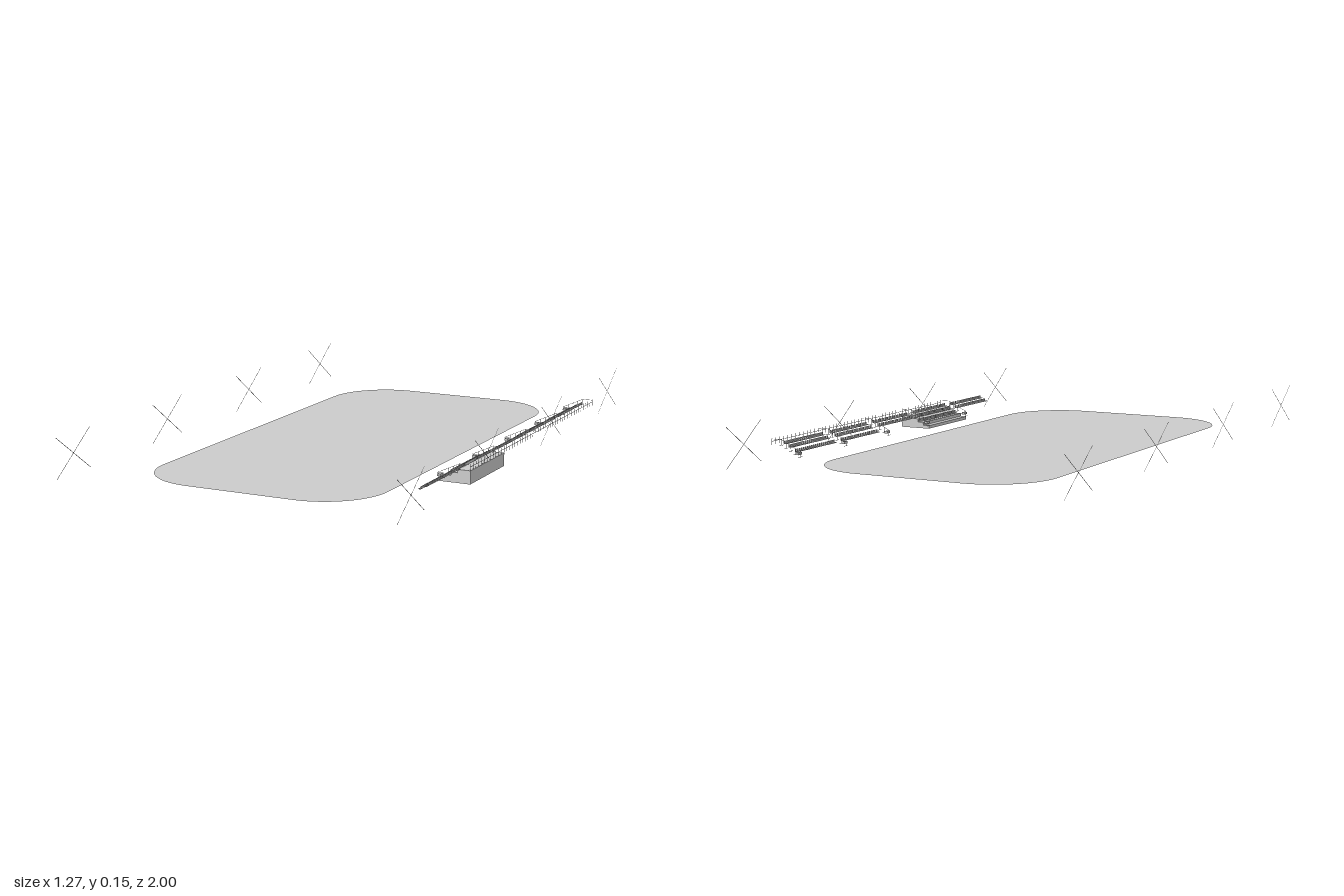
import * as THREE from 'three';
import { mergeGeometries } from 'three/addons/utils/BufferGeometryUtils.js';

const grey = new THREE.MeshStandardMaterial({ color: 0xcccccc, flatShading: true, side: THREE.DoubleSide });

const box = (w, h, d, x, y, z) => new THREE.BoxGeometry(w, h, d).translate(x, y, z);

// thin square bar between two points
function bar(a, b, t = 0.0012) {
  const p = new THREE.Vector3(...a), q = new THREE.Vector3(...b);
  const dir = q.clone().sub(p);
  const turn = new THREE.Quaternion().setFromUnitVectors(new THREE.Vector3(0, 1, 0), dir.clone().normalize());
  const mid = p.add(q).multiplyScalar(0.5);
  return new THREE.BoxGeometry(t, dir.length(), t).applyQuaternion(turn).translate(mid.x, mid.y, mid.z);
}

function add(group, name, geometry) {
  const mesh = new THREE.Mesh(Array.isArray(geometry) ? mergeGeometries(geometry) : geometry, grey);
  mesh.name = name;
  group.add(mesh);
}

// flat playing surface with rounded corners
function surface() {
  const w = 0.432, l = 0.877, r = 0.23;
  const s = new THREE.Shape();
  s.moveTo(w, -l + r);
  s.absarc(w - r, l - r, r, 0, Math.PI / 2);
  s.absarc(-w + r, l - r, r, Math.PI / 2, Math.PI);
  s.absarc(-w + r, -l + r, r, Math.PI, Math.PI * 1.5);
  s.absarc(w - r, -l + r, r, Math.PI * 1.5, Math.PI * 2);
  return new THREE.ShapeGeometry(s, 16).rotateX(-Math.PI / 2);
}

// solid stepped stand, closed on all sides
function steppedBlock(z0, z1) {
  const s = new THREE.Shape();
  s.moveTo(0.516, 0);
  s.lineTo(0.635, 0);
  s.lineTo(0.635, 0.047);
  const steps = 4, run = 0.019, rise = 0.0117;
  for (let i = steps; i > 0; i--) {
    const x = 0.516 + (i - 1) * run * 1.25;
    s.lineTo(x, i * rise);
    s.lineTo(x, (i - 1) * rise);
  }
  return new THREE.ExtrudeGeometry(s, { depth: z1 - z0, bevelEnabled: false }).translate(0, 0, z0);
}

// one row of small seats with backs
function seatRow(x, y, z0, z1) {
  const parts = [], count = 20, pitch = (z1 - z0) / count;
  for (let i = 0; i < count; i++) {
    const z = z0 + (i + 0.5) * pitch;
    parts.push(box(0.009, 0.002, pitch * 0.7, x, y, z));
    parts.push(box(0.0015, 0.009, pitch * 0.7, x + 0.005, y + 0.005, z));
  }
  return mergeGeometries(parts);
}

// sloping handrail with posts at the end of a section
function endRail(z) {
  const parts = [
    bar([0.516, 0.03, z], [0.597, 0.068, z]),
    bar([0.597, 0.068, z], [0.634, 0.068, z]),
  ];
  for (let i = 0; i < 5; i++) {
    const x = 0.52 + i * 0.019, y = 0.012 + i * 0.009;
    parts.push(bar([x, y, z], [x, y + 0.02, z]));
    parts.push(bar([x, y, z - 0.012], [x, y, z + 0.012]));
  }
  parts.push(box(0.012, 0.008, 0.02, 0.526, 0.024, z));
  return mergeGeometries(parts);
}

export function createModel() {
  const model = new THREE.Group();
  add(model, 'playingSurface', surface());

  // five grandstand sections along the left side
  const stand = new THREE.Group();
  stand.name = 'grandstand';
  model.add(stand);
  const start = -0.735, length = 0.2925;
  const rows = [[0.548, 0.026], [0.574, 0.04], [0.595, 0.051]];
  const rails = [], seats = [], backRails = [];
  for (let i = 0; i < 5; i++) {
    const z0 = start + i * length, z1 = z0 + length;
    const used = i < 2 || i === 3 ? rows : rows.slice(1);
    for (const [x, y] of used) seats.push(seatRow(x, i === 3 ? y + 0.002 : y, z0 + 0.02, z1 - 0.02));
    if (i === 3) add(stand, 'steppedBlock', steppedBlock(z0, z1));
    if (i < 4) {
      // guard rail behind the top row
      const x = 0.634;
      backRails.push(bar([x, 0.06, z0], [x, 0.06, z1]));
      for (let k = 0; k <= 12; k++) {
        const z = z0 + (k / 12) * length;
        backRails.push(bar([x, 0.047, z], [x, 0.07, z]));
      }
    }
  }
  for (let i = 0; i < 5; i++) rails.push(endRail(start + 0.005 + i * length));
  add(stand, 'seats', seats);
  add(stand, 'handrails', rails);
  add(stand, 'backRail', backRails);

  // crossed flat strips standing along both sides
  const w = 0.2, h = 0.144, angle = Math.atan2(h, w);
  for (const side of [-1, 1]) {
    for (const z of [-0.9, -0.3, 0.3, 0.9]) {
      const strips = [-1, 1].map((d) => new THREE.PlaneGeometry(Math.hypot(w, h), 0.002)
        .rotateZ(d * angle).rotateY(Math.PI / 2).translate(side * 0.635, h / 2, z));
      add(model, side > 0 ? 'leftCross' : 'rightCross', strips);
    }
  }
  return model;
}
